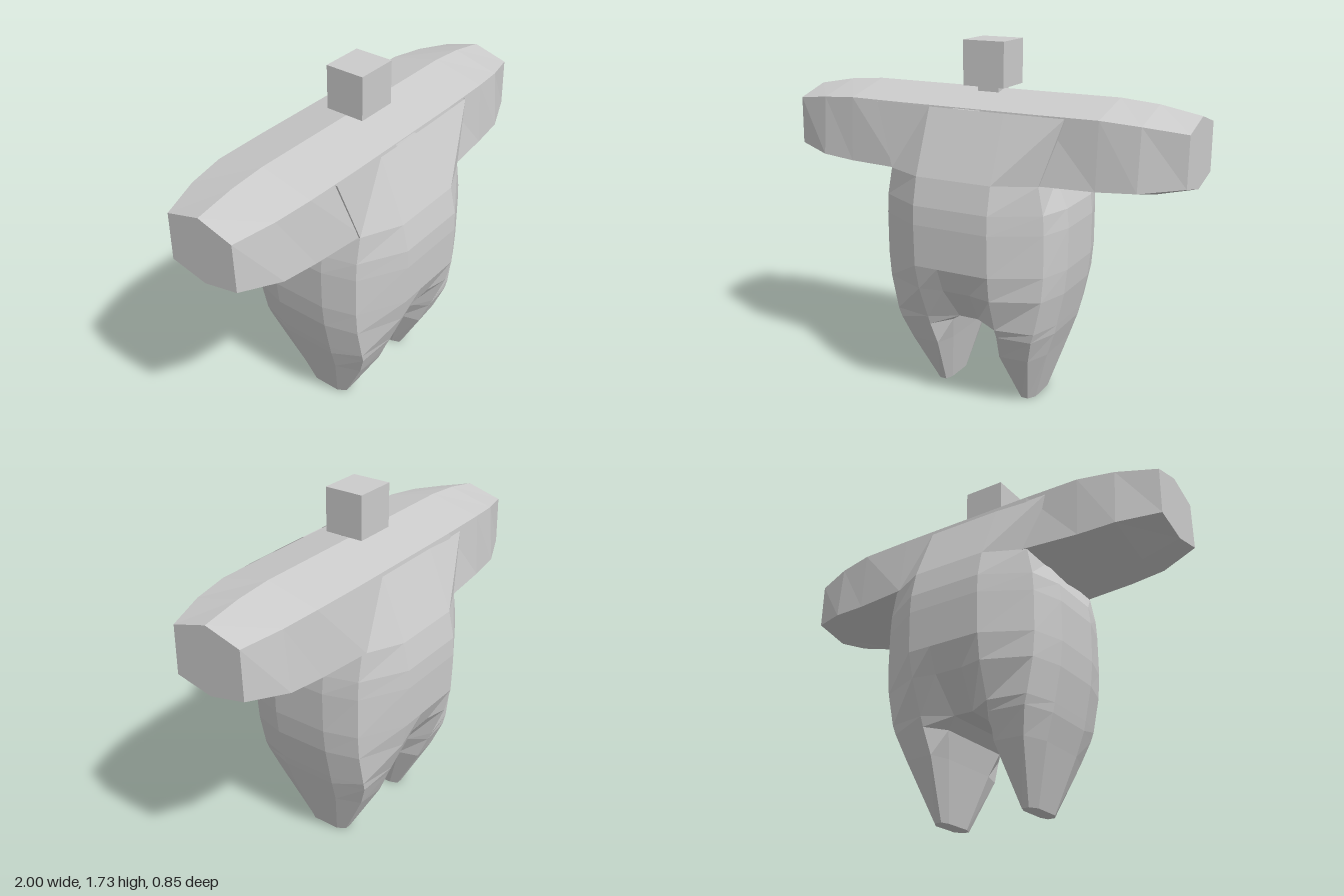
import * as THREE from 'three';

const material = new THREE.MeshStandardMaterial({ color: 0xcccccc, flatShading: true, side: THREE.DoubleSide });

// Skins closed rings of [x, y, z] points; rings run counter-clockwise seen from the far end.
function loft(name, rings, { skip = () => false, startCap = false, endCap = false } = {}) {
  const pos = [];
  const tri = (a, b, c) => pos.push(...a, ...b, ...c);
  const n = rings[0].length;
  for (let k = 0; k + 1 < rings.length; k++) {
    const a = rings[k], b = rings[k + 1];
    for (let i = 0; i < n; i++) {
      if (skip(k, i)) continue;
      const j = (i + 1) % n;
      tri(a[i], a[j], b[j]);
      tri(a[i], b[j], b[i]);
    }
  }
  const first = rings[0], last = rings[rings.length - 1];
  for (let i = 1; i + 1 < n; i++) {
    if (startCap) tri(first[0], first[i + 1], first[i]);
    if (endCap) tri(last[0], last[i], last[i + 1]);
  }
  const geometry = new THREE.BufferGeometry();
  geometry.setAttribute('position', new THREE.Float32BufferAttribute(pos, 3));
  geometry.computeVertexNormals();
  const mesh = new THREE.Mesh(geometry, material);
  mesh.name = name;
  return mesh;
}

function box(name, w, h, d, y) {
  const mesh = new THREE.Mesh(new THREE.BoxGeometry(w, h, d), material);
  mesh.name = name;
  mesh.position.y = y;
  return mesh;
}

// Body sections from foot to shoulder, each as height then x, z of:
// outer side, side corner, front panel edge, inner edge
const sections = [
  [0.00, 0.275, 0.07, 0.25, 0.11, 0.215, 0.11, 0.20, 0.07],
  [0.27, 0.36, 0.13, 0.315, 0.25, 0.17, 0.26, 0.14, 0.16],
  [0.39, 0.40, 0.14, 0.35, 0.295, 0.18, 0.31, 0.11, 0.21],
  [0.435, 0.41, 0.14, 0.365, 0.30, 0.18, 0.33, 0.05, 0.25],
  [0.60, 0.445, 0.14, 0.40, 0.30, 0.185, 0.395, 0.07, 0.37],
  [0.72, 0.458, 0.14, 0.41, 0.30, 0.19, 0.42, 0.07, 0.42],
  [0.92, 0.46, 0.14, 0.41, 0.30, 0.19, 0.425, 0.07, 0.425],
  [1.01, 0.45, 0.14, 0.405, 0.30, 0.19, 0.42, 0.07, 0.42],
  [1.14, 0.395, 0.14, 0.38, 0.30, 0.19, 0.39, 0.07, 0.39],
  [1.44, 0.48, 0.14, 0.48, 0.26, 0.19, 0.265, 0.07, 0.265],
];
const crotch = 3;

// One side of the body: a leg that widens into half of the torso
function bodyHalf(side) {
  const rings = sections.map(([y, ox, oz, cx, cz, px, pz, ix, iz]) => {
    const half = [[ox, oz], [cx, cz], [px, pz], [ix, iz]];
    const ring = [
      ...half.map(([x, z]) => [side * x, y, -z]),
      ...half.reverse().map(([x, z]) => [side * x, y, z]),
    ];
    return side > 0 ? ring : ring.reverse();
  });
  // the inner wall is left open above the crotch
  return loft(side > 0 ? 'leftBodyAndLeg' : 'rightBodyAndLeg', rings, {
    skip: (k, i) => k >= crotch && i === 3,
    startCap: true,
  });
}

// Centre strip joining both halves: down the front, under the crotch, up the back
function bodyCentre() {
  const upper = sections.slice(crotch);
  const ring = (s) => [
    ...[...upper].reverse().map((r) => [s * r[7], r[0], r[8]]),
    ...upper.map((r) => [s * r[7], r[0], -r[8]]),
  ];
  return loft('bodyCentre', [ring(-1), ring(1)]);
}

// Six-sided beam forming both outstretched arms and the shoulders
function arms() {
  // x, top ridge y, top corner y, z, bottom corner y, z, bottom ridge y
  const half = [
    [0.36, 1.505, 1.445, 0.26, 1.14, 0.302, 1.08],
    [0.63, 1.505, 1.445, 0.255, 1.14, 0.275, 1.08],
    [0.81, 1.49, 1.43, 0.23, 1.15, 0.257, 1.087],
    [1.00, 1.455, 1.405, 0.175, 1.175, 0.18, 1.135],
  ];
  const ring = (s) => ([x, top, uy, uz, ly, lz, bottom]) => [
    [s * x, top, 0], [s * x, uy, uz], [s * x, ly, lz],
    [s * x, bottom, 0], [s * x, ly, -lz], [s * x, uy, -uz],
  ];
  const rings = [...[...half].reverse().map(ring(-1)), ...half.map(ring(1))];
  const mesh = loft('arms', rings, { startCap: true, endCap: true });
  mesh.position.z = -0.008;
  return mesh;
}

export function createModel() {
  const model = new THREE.Group();
  model.name = 'figure';
  model.add(
    bodyHalf(1), bodyHalf(-1), bodyCentre(), arms(),
    box('neck', 0.11, 0.08, 0.1, 1.5),
    box('head', 0.21, 0.21, 0.195, 1.625),
  );
  return model;
}
